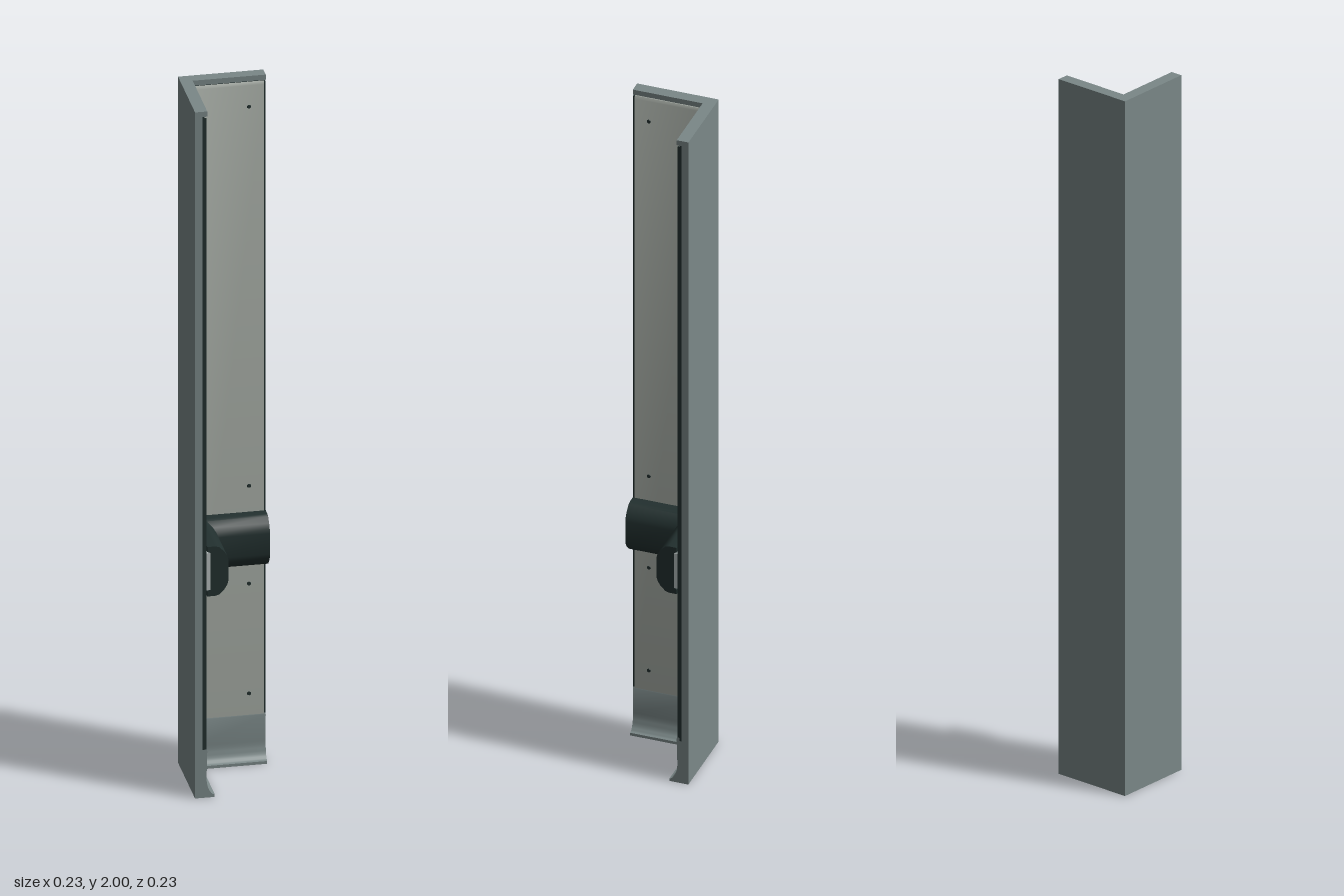
import * as THREE from 'three';
import { toCreasedNormals } from 'three/addons/utils/BufferGeometryUtils.js';

const END = 0.115; // free end of each wing; the outer corner is at -END

const mat = (name, color) => {
  const m = new THREE.MeshStandardMaterial({ color });
  m.name = name;
  return m;
};

// Sweep a closed profile [offset, height] round the corner with a mitred joint.
function sweepCorner(name, points, material, end = END) {
  const shape = new THREE.Shape(points.map(([s, y]) => new THREE.Vector2(s, y)));
  const geo = new THREE.ExtrudeGeometry(shape, { depth: 2, steps: 2, bevelEnabled: false });
  const p = geo.attributes.position;
  for (let i = 0; i < p.count; i++) {
    const s = p.getX(i), y = p.getY(i), t = Math.round(p.getZ(i));
    p.setXYZ(i, t === 0 ? end : s, y, t === 2 ? end : s);
  }
  const mesh = new THREE.Mesh(toCreasedNormals(geo, 0.5), material);
  mesh.name = name;
  return mesh;
}

const rect = (s0, s1, y0, y1) => [[s0, y0], [s1, y0], [s1, y1], [s0, y1]];

export function createModel() {
  const model = new THREE.Group();
  model.name = 'wallCorner';
  const wallGrey = mat('wall grey', 0x7b8888);
  const panelGrey = mat('panel grey', 0xa4aaa3);
  const dark = mat('dark rubber', 0x22302f);
  const light = mat('light core', 0xb4bcbc);

  // Structural wall and top cap
  model.add(sweepCorner('wall', rect(-END, -0.095, 0, 1.985), wallGrey));
  model.add(sweepCorner('topCap', rect(-END, -0.082, 1.985, 2), wallGrey));

  // Dark backing and light facing panels
  model.add(sweepCorner('panelBacking', rect(-0.095, -0.09, 0.13, 1.985), dark));
  model.add(sweepCorner('panel', [
    [-0.09, 0.13], [-0.083, 0.13], [-0.083, 1.972], [-0.087, 1.98], [-0.09, 1.98],
  ], panelGrey, 0.111));

  // Dark edge strips at the free ends of the panels
  const edgeGeo = new THREE.BoxGeometry(0.004, 1.84, 0.006);
  for (const side of [0, 1]) {
    const edge = new THREE.Mesh(edgeGeo, dark);
    edge.name = 'panelEdge';
    edge.position.set(side ? -0.087 : 0.113, 1.06, side ? 0.113 : -0.087);
    edge.rotation.y = side ? Math.PI / 2 : 0;
    model.add(edge);
  }

  // Concave trim in the inner corner
  const c = -0.084, r = 0.01;
  const trimShape = new THREE.Shape();
  trimShape.moveTo(c, -c);
  trimShape.lineTo(c + r, -c);
  trimShape.quadraticCurveTo(c, -c, c, -c - r);
  trimShape.closePath();
  const trimGeo = new THREE.ExtrudeGeometry(trimShape, { depth: 1.84, bevelEnabled: false, curveSegments: 6 });
  trimGeo.rotateX(-Math.PI / 2);
  const trim = new THREE.Mesh(toCreasedNormals(trimGeo, 0.6), wallGrey);
  trim.name = 'cornerTrim';
  trim.position.y = 0.14;
  model.add(trim);

  // Coved skirting
  const cove = [[-0.095, 0], [-0.062, 0], [-0.062, 0.008]];
  for (let i = 1; i <= 8; i++) {
    const a = (i / 8) * Math.PI / 2;
    cove.push([-0.062 - 0.022 * Math.sin(a), 0.008 + 0.05 * (1 - Math.cos(a))]);
  }
  cove.push([-0.082, 0.135], [-0.084, 0.14], [-0.095, 0.14]);
  model.add(sweepCorner('skirting', cove, wallGrey));

  // Bumper rail with chamfered nose, built on a light core
  const half = [[-0.082, 0.072], [-0.06, 0.072], [-0.05, 0.069], [-0.036, 0.055], [-0.028, 0.042], [-0.025, 0.03]];
  const mid = 0.658;
  const rail = [
    ...half.map(([s, y]) => [s, mid + y]),
    ...half.slice().reverse().map(([s, y]) => [s, mid - y]),
    [-0.082, 0.6], [-0.074, 0.604], [-0.074, 0.712], [-0.082, 0.716],
  ];
  model.add(sweepCorner('bumperRail', rail, dark));
  model.add(sweepCorner('railCore', rect(-0.084, -0.074, 0.604, 0.712), light));

  // Screw heads on both wings
  const screwGeo = new THREE.CylinderGeometry(0.005, 0.006, 0.004, 12);
  screwGeo.rotateX(Math.PI / 2);
  for (const y of [0.2, 0.52, 0.805, 1.91]) {
    for (const side of [0, 1]) {
      const screw = new THREE.Mesh(screwGeo, dark);
      screw.name = 'screw';
      screw.position.set(side ? -0.083 : 0.07, y, side ? 0.07 : -0.083);
      screw.rotation.y = side ? Math.PI / 2 : 0;
      model.add(screw);
    }
  }
  return model;
}
